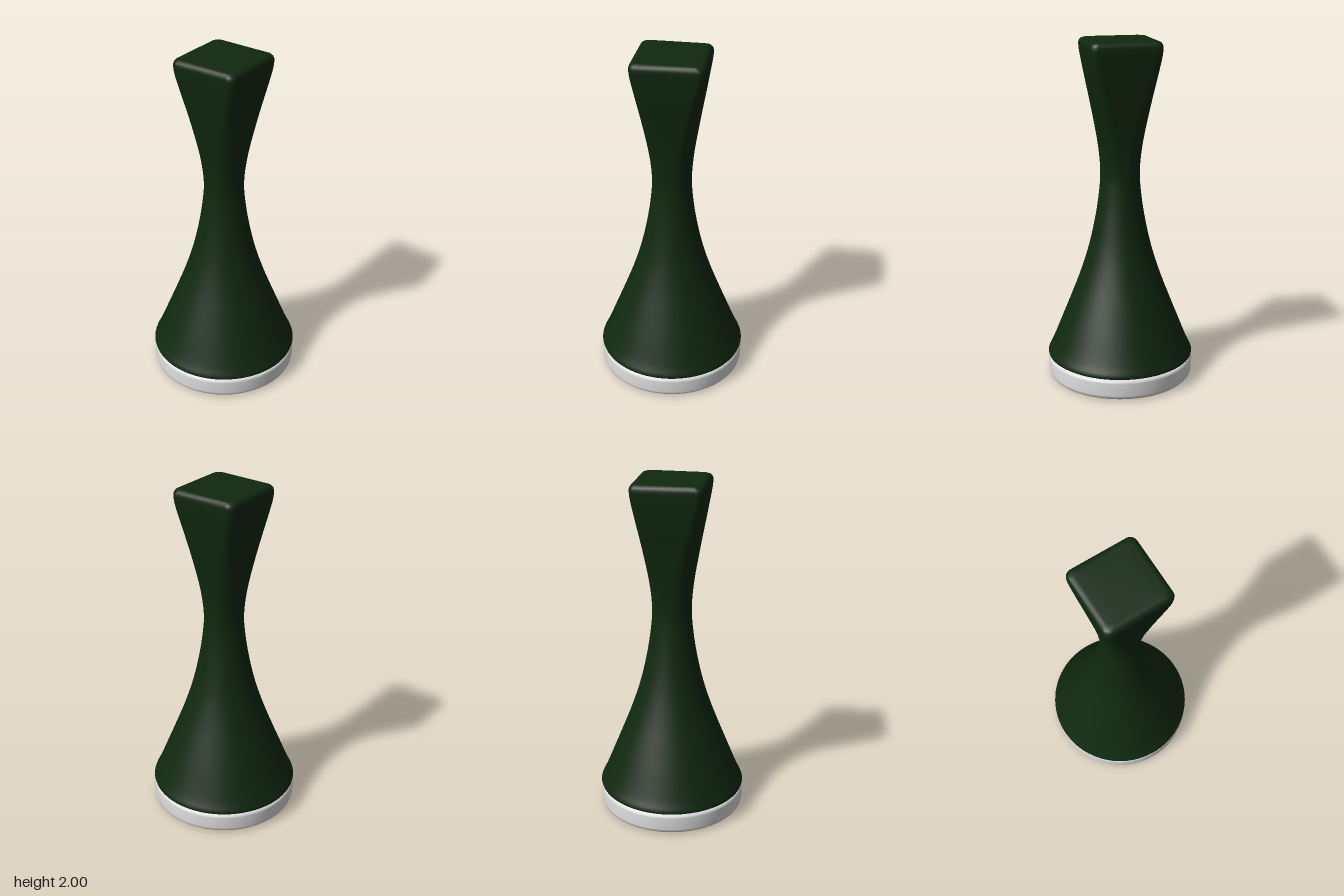
import * as THREE from 'three';

const green = new THREE.MeshStandardMaterial({ color: 0x10280f });
green.name = 'dark green';
const white = new THREE.MeshStandardMaterial({ color: 0xe0e0e0 });
white.name = 'off white';

// Rows of [half width, height] up the flared body
const PROFILE = [
  [0.427, 0.155], [0.405, 0.2], [0.34, 0.36], [0.292, 0.48], [0.235, 0.63], [0.182, 0.8],
  [0.139, 1.0], [0.117, 1.17], [0.113, 1.27], [0.122, 1.4], [0.151, 1.6], [0.183, 1.8], [0.202, 1.93],
];

// Corner rounding: 1 is a full circle, small values are nearly square
const rounding = (y) => THREE.MathUtils.clamp(1 - (y - 1.2) * 1.15, 0.2, 1);

// Smooth skin over rounded-square sections, each given as [half width, height]
function loft(rows, perCorner) {
  const n = perCorner * 4;
  const pos = [];
  const index = [];
  rows.forEach(([h, y], j) => {
    const r = rounding(y);
    for (let i = 0; i < n; i++) {
      const a = ((i + 0.5) / n) * Math.PI * 2;
      const c = Math.cos(a), s = Math.sin(a);
      pos.push(h * ((1 - r) * Math.sign(c) + r * c), y, h * ((1 - r) * Math.sign(s) + r * s));
      if (j === 0) continue;
      const a1 = j * n + i, b1 = j * n + ((i + 1) % n);
      index.push(a1 - n, a1, b1 - n, a1, b1, b1 - n);
    }
  });
  const g = new THREE.BufferGeometry();
  g.setAttribute('position', new THREE.Float32BufferAttribute(pos, 3));
  g.setIndex(index);
  g.computeVertexNormals();
  return g;
}

export function createModel() {
  const model = new THREE.Group();
  model.name = 'flaredPiece';

  // Body: round at the foot, square at the head, softened rims
  const curve = new THREE.CatmullRomCurve3(PROFILE.map(([h, y]) => new THREE.Vector3(h, y, 0)));
  const rows = [[0, 0.127], [0.3, 0.127], [0.4, 0.127], [0.42, 0.129], [0.429, 0.135], [0.431, 0.143]];
  curve.getPoints(60).forEach((p) => rows.push([p.x, p.y]));
  rows.push([0.204, 1.955], [0.204, 1.97], [0.2, 1.983], [0.192, 1.993], [0.18, 1.998], [0.165, 2], [0.1, 2], [0, 2]);
  const body = new THREE.Mesh(loft(rows, 20), green);
  body.name = 'body';
  model.add(body);

  // Base: round pad with softened edges
  const pad = [
    [0, 0], [0.36, 0], [0.4, 0.002], [0.416, 0.007], [0.426, 0.017], [0.43, 0.032],
    [0.43, 0.105], [0.427, 0.116], [0.419, 0.123], [0.405, 0.126], [0, 0.126],
  ].map(([x, y]) => new THREE.Vector2(x, y));
  const base = new THREE.Mesh(new THREE.LatheGeometry(pad, 80), white);
  base.name = 'base';
  model.add(base);

  return model;
}
